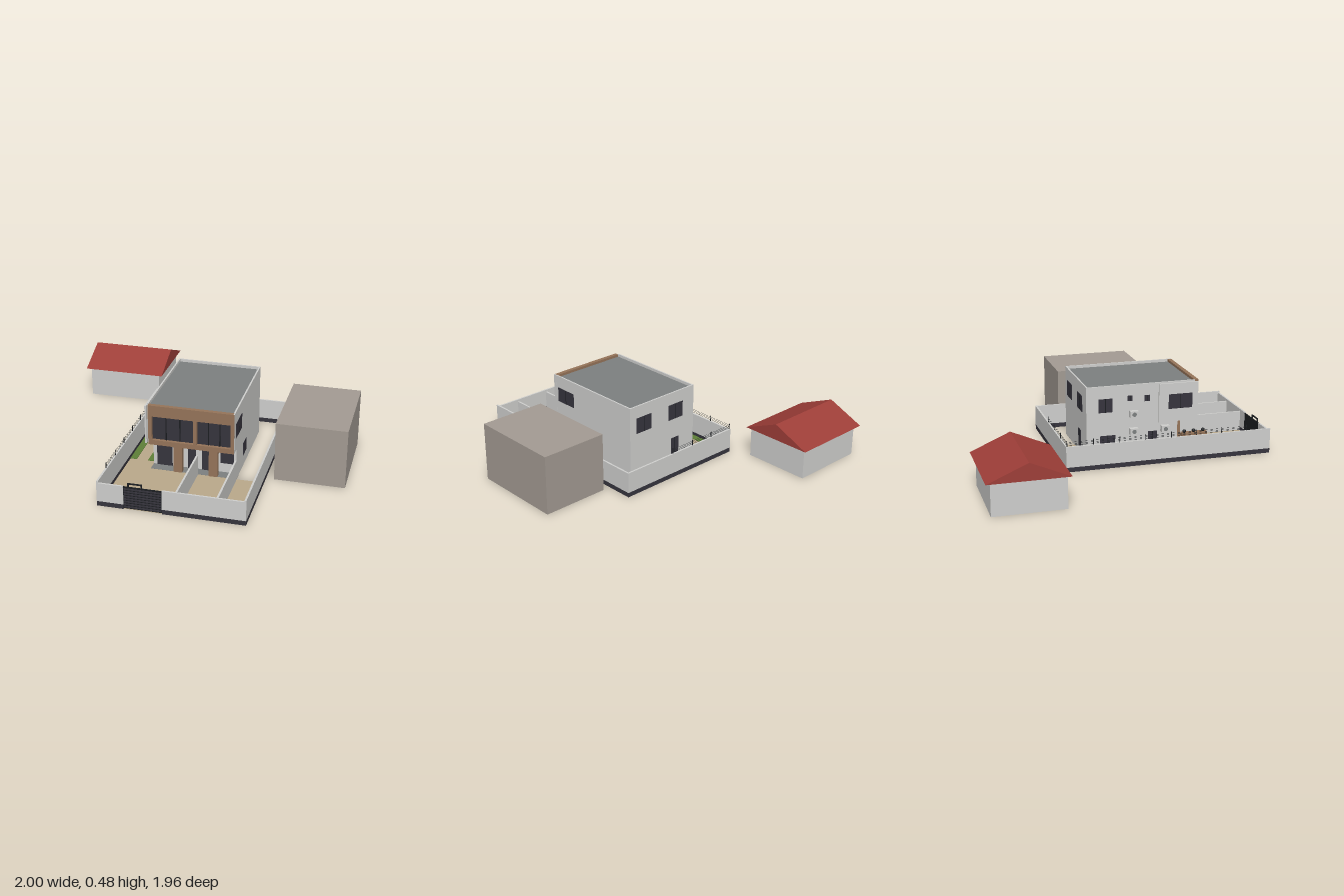
import * as THREE from 'three';

const mat = (name, color) => Object.assign(new THREE.MeshStandardMaterial({ color }), { name });

export function createModel() {
  const white = mat('plaster', 0xcfcfcd), dark = mat('darkGlass', 0x36343d), black = mat('blackMetal', 0x1b1e21),
    wood = mat('wood', 0x957459), grey = mat('roofGrey', 0x7d8080), tan = mat('paving', 0xbaa98b),
    grass = mat('grass', 0x5f8038), taupe = mat('taupe', 0xa39b93), red = mat('redRoof', 0x9e3e38);
  const root = new THREE.Group();
  const group = (name) => { const g = new THREE.Group(); g.name = name; root.add(g); return g; };

  // Box given by its minimum and maximum on each axis
  const box = (parent, name, m, x0, x1, y0, y1, z0, z1) => {
    const mesh = new THREE.Mesh(new THREE.BoxGeometry(x1 - x0, y1 - y0, z1 - z0), m);
    mesh.position.set((x0 + x1) / 2, (y0 + y1) / 2, (z0 + z1) / 2);
    mesh.name = name;
    parent.add(mesh);
    return mesh;
  };

  // Neighbouring block
  box(root, 'neighbourBlock', taupe, 0.555, 0.997, 0, 0.385, -0.21, 0.402);

  // Outbuilding with gable roof
  const shed = group('outbuilding');
  box(shed, 'outbuildingWalls', white, -0.97, -0.465, 0, 0.205, -0.956, -0.512);
  const gable = new THREE.Shape([[-0.247, 0.205], [0.247, 0.205], [0, 0.312]].map(p => new THREE.Vector2(...p)));
  const roof = new THREE.Mesh(new THREE.ExtrudeGeometry(gable, { depth: 0.562, bevelEnabled: false }), red);
  roof.rotation.y = Math.PI / 2;
  roof.position.set(-1, 0, -0.738);
  roof.name = 'gableRoof';
  shed.add(roof);

  // Yard floor
  const yard = group('yard');
  const slabs = [[-0.4, -0.225, -0.38, 0.47], [-0.225, 0.08, -0.38, -0.21], [-0.4, 0.503, 0.47, 0.972]];
  for (const [x0, x1, z0, z1] of slabs) box(yard, 'paving', tan, x0, x1, 0, 0.005, z0, z1);
  box(yard, 'lawnStrip', grass, -0.394, -0.347, -0.001, 0.009, -0.375, 0.375);
  box(yard, 'lawnStrip', grass, -0.272, -0.226, -0.001, 0.009, -0.205, 0.375);

  // Boundary walls with dark plinth
  const walls = group('boundaryWalls');
  const wall = (x0, x1, z0, z1, h) => {
    box(walls, 'plinth', dark, x0, x1, 0, 0.03, z0, z1);
    box(walls, 'wall', white, x0, x1, 0.03, h, z0, z1);
  };
  wall(-0.402, -0.39, -0.385, 0.977, 0.165);
  wall(0.493, 0.505, -0.385, 0.977, 0.165);
  wall(-0.39, 0.493, -0.385, -0.373, 0.165);
  wall(-0.39, -0.236, 0.965, 0.977, 0.152);
  wall(0, 0.493, 0.965, 0.977, 0.155);
  box(walls, 'yardDivider', white, 0.073, 0.085, 0.005, 0.14, 0.475, 0.965);
  box(walls, 'yardDivider', white, 0.321, 0.333, 0.005, 0.14, 0.475, 0.965);

  // Slatted gate
  const gate = group('gate');
  box(gate, 'gatePanel', black, -0.236, 0, 0.005, 0.15, 0.967, 0.973);
  for (let i = 0; i < 8; i++) box(gate, 'gateSlat', dark, -0.232, -0.004, 0.012 + i * 0.017, 0.022 + i * 0.017, 0.973, 0.976);
  for (const x of [-0.21, -0.128]) box(gate, 'gatePost', black, x, x + 0.008, 0.15, 0.175, 0.966, 0.974);
  box(gate, 'gateLintel', black, -0.21, -0.12, 0.168, 0.175, 0.966, 0.974);

  // Wire fence on top of the left and back walls
  const fence = group('wireFence');
  for (let i = 0; i < 8; i++) {
    const z = -0.379 + i * 0.17;
    box(fence, 'fencePost', black, -0.398, -0.394, 0.165, 0.203, z - 0.002, z + 0.002);
  }
  for (let i = 1; i < 4; i++) {
    const x = -0.396 + i * 0.172;
    box(fence, 'fencePost', black, x - 0.002, x + 0.002, 0.165, 0.203, -0.381, -0.377);
  }
  for (const y of [0.174, 0.184, 0.194]) {
    box(fence, 'wire', black, -0.3965, -0.3955, y, y + 0.001, -0.379, 0.811);
    box(fence, 'wire', black, -0.396, 0.12, y, y + 0.001, -0.3795, -0.3785);
  }

  // House volumes
  const house = group('house');
  box(house, 'groundFloor', white, -0.225, 0.33, 0.002, 0.217, -0.21, 0.4);
  box(house, 'floorSlab', grey, -0.224, 0.329, 0, 0.006, -0.209, 0.47);
  box(house, 'upperFloor', white, -0.225, 0.33, 0.217, 0.46, -0.21, 0.515);
  box(house, 'sideWing', white, 0.316, 0.33, 0.005, 0.217, 0.4, 0.475);
  box(house, 'sidePanel', white, -0.236, -0.225, 0.217, 0.472, 0.27, 0.535);
  box(house, 'roofDeck', grey, -0.215, 0.32, 0.46, 0.464, -0.2, 0.515);
  box(house, 'parapet', white, -0.225, -0.215, 0.46, 0.482, -0.21, 0.515);
  box(house, 'parapet', white, 0.32, 0.33, 0.46, 0.482, -0.21, 0.515);
  box(house, 'parapet', white, -0.215, 0.32, 0.46, 0.482, -0.21, -0.2);
  box(house, 'sideCheek', white, 0.324, 0.331, 0.217, 0.482, 0.515, 0.541);

  // Wooden front frame with two large openings
  const rect = (S, x0, x1, y0, y1) => new S([[x0, y0], [x1, y0], [x1, y1], [x0, y1]].map(p => new THREE.Vector2(...p)));
  const frame = rect(THREE.Shape, -0.213, 0.33, 0.216, 0.481);
  const openings = [[-0.19, 0.072], [0.095, 0.307]];
  for (const [x0, x1] of openings) frame.holes.push(rect(THREE.Path, x0, x1, 0.248, 0.408));
  const front = new THREE.Mesh(new THREE.ExtrudeGeometry(frame, { depth: 0.027, bevelEnabled: false }), wood);
  front.position.z = 0.515;
  front.name = 'woodenFrontFrame';
  house.add(front);
  for (const [x0, x1] of openings) {
    box(house, 'frontGlass', dark, x0, x1, 0.248, 0.408, 0.515, 0.521);
    for (const t of [1 / 3, 2 / 3]) {
      const x = x0 + (x1 - x0) * t;
      box(house, 'mullion', black, x - 0.003, x + 0.003, 0.248, 0.408, 0.521, 0.525);
    }
  }

  // Porch: wooden columns, doors and windows
  for (const x of [-0.073, 0.155]) box(house, 'porchColumn', wood, x, x + 0.055, 0.005, 0.217, 0.44, 0.475);
  const porch = [[-0.2, -0.1, 0.006, 0.16], [0.003, 0.053, 0.006, 0.2], [0.093, 0.138, 0.006, 0.2], [0.212, 0.3, 0.07, 0.178]];
  for (const [x0, x1, y0, y1] of porch) box(house, 'porchOpening', dark, x0, x1, y0, y1, 0.4, 0.405);

  // Windows on the sides and the back: thin plates with a centre bar
  const sideWindow = (x, z0, z1, y0, y1) => {
    const c = (z0 + z1) / 2;
    box(house, 'sideWindow', dark, x - 0.003, x + 0.003, y0, y1, z0, z1);
    box(house, 'windowBar', black, x - 0.004, x + 0.004, y0, y1, c - 0.002, c + 0.002);
  };
  sideWindow(0.33, 0.34, 0.498, 0.303, 0.4);
  sideWindow(0.33, 0.2, 0.29, 0.08, 0.165);
  sideWindow(-0.236, 0.335, 0.495, 0.303, 0.4);
  sideWindow(-0.225, -0.13, -0.04, 0.31, 0.4);
  sideWindow(-0.225, -0.12, -0.02, 0.07, 0.155);
  sideWindow(-0.225, 0.06, 0.095, 0.375, 0.41);
  sideWindow(-0.225, 0.175, 0.21, 0.365, 0.405);
  sideWindow(-0.225, 0.2, 0.26, 0.01, 0.16);
  for (const [x0, x1, y0, y1] of [[0.15, 0.275, 0.295, 0.4], [-0.125, 0, 0.295, 0.4], [-0.09, -0.025, 0.006, 0.16]]) {
    const c = (x0 + x1) / 2;
    box(house, 'backWindow', dark, x0, x1, y0, y1, -0.213, -0.207);
    box(house, 'windowBar', black, c - 0.002, c + 0.002, y0, y1, -0.214, -0.206);
  }

  // Wall-mounted air units with round fans
  for (const [y, z] of [[0.29, 0.1], [0.175, 0.1], [0.175, 0.312]]) {
    box(house, 'airUnit', white, -0.256, -0.225, y - 0.021, y + 0.021, z - 0.028, z + 0.028);
    const fan = new THREE.Mesh(new THREE.CylinderGeometry(0.014, 0.014, 0.003, 16), grey);
    fan.rotation.z = Math.PI / 2;
    fan.position.set(-0.257, y, z);
    fan.name = 'airUnitFan';
    house.add(fan);
  }

  // Planter with three dark shrubs
  const planter = group('planter');
  box(planter, 'planterBox', wood, 0.03, 0.073, 0.005, 0.03, 0.53, 0.71);
  for (const z of [0.55, 0.618, 0.686]) {
    const shrub = new THREE.Mesh(new THREE.IcosahedronGeometry(0.013, 1), black);
    shrub.position.set(0.052, 0.04, z);
    shrub.name = 'shrub';
    planter.add(shrub);
  }
  return root;
}
